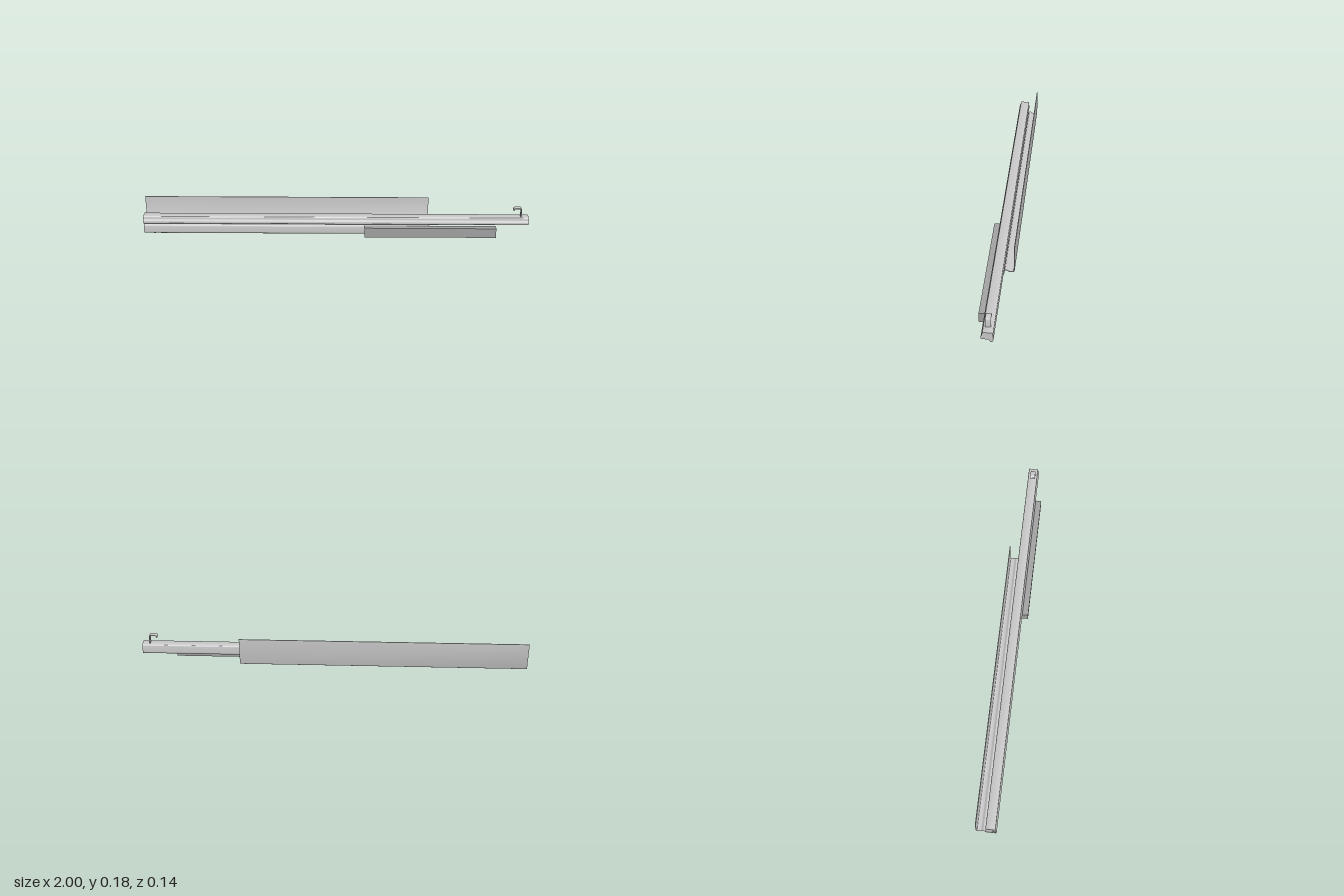
import * as THREE from 'three';
import { toCreasedNormals } from 'three/addons/utils/BufferGeometryUtils.js';

const material = (color = 0xcccccc) => new THREE.MeshStandardMaterial({ color, roughness: 0.8 });

// Points along a polyline with its inner corners rounded by radius r
function rounded(points, r, closed = false) {
  const p = points.map(([a, b]) => new THREE.Vector2(a, b));
  const n = p.length;
  const out = [];
  p.forEach((c, i) => {
    if (!closed && (i === 0 || i === n - 1)) { out.push(c); return; }
    const prev = p[(i + n - 1) % n], next = p[(i + 1) % n];
    const toward = (q) => c.clone().lerp(q, Math.min(r / c.distanceTo(q), 0.45));
    out.push(...new THREE.QuadraticBezierCurve(toward(prev), c, toward(next)).getPoints(4));
  });
  return out;
}

// Closed outline of a bent sheet that follows a centre line
function sheetOutline(line, thickness) {
  const sides = [[], []];
  line.forEach((c, i) => {
    const a = line[Math.max(i - 1, 0)], b = line[Math.min(i + 1, line.length - 1)];
    const d = b.clone().sub(a).normalize().multiplyScalar(thickness / 2);
    sides[0].push(new THREE.Vector2(c.x - d.y, c.y + d.x));
    sides[1].push(new THREE.Vector2(c.x + d.y, c.y - d.x));
  });
  return sides[0].concat(sides[1].reverse());
}

function extrude(outline, depth) {
  const geo = new THREE.ExtrudeGeometry(new THREE.Shape(outline), { depth, bevelEnabled: false });
  return toCreasedNormals(geo, 0.6);
}

// Profile in (-z, y), run along x from x0 to x1
function rail(name, outline, x0, x1, mat) {
  const mesh = new THREE.Mesh(extrude(outline, x1 - x0).rotateY(Math.PI / 2), mat);
  mesh.position.x = x0;
  mesh.name = name;
  return mesh;
}

function box(name, x0, x1, y0, y1, z0, z1, mat) {
  const mesh = new THREE.Mesh(new THREE.BoxGeometry(x1 - x0, y1 - y0, z1 - z0), mat);
  mesh.position.set((x0 + x1) / 2, (y0 + y1) / 2, (z0 + z1) / 2);
  mesh.name = name;
  return mesh;
}

export function createModel() {
  const group = new THREE.Group();
  group.name = 'slidingRail';
  const grey = material();

  // Long upper bar with a stepped, rounded section
  group.add(rail('upperBar', rounded([
    [-0.032, 0.105], [0.018, 0.105], [0.019, 0.056], [0.012, 0.051], [0.003, 0.051],
    [0.003, 0.065], [-0.038, 0.065], [-0.038, 0.082], [-0.032, 0.09],
  ], 0.007, true), -1, 1, grey));

  // Inner slider running inside the channel
  group.add(rail('innerSlider', rounded([
    [-0.017, 0.066], [0.002, 0.066], [0.003, 0.05], [0.015, 0.052], [0.015, 0.017],
    [-0.029, 0.017], [-0.029, 0.05], [-0.017, 0.058],
  ], 0.006, true), -1, 0.48, material(0xb4b4b4)));

  // Bent sheet: hooked channel, hump and tall back plate
  const section = rounded([
    [-0.017, 0.057], [-0.031, 0.057], [-0.033, 0.01], [0.014, 0.01],
    [0.018, 0.036], [0.031, 0.036], [0.039, 0.027], [0.065, 0.027], [0.065, 0.176],
  ], 0.01);
  group.add(rail('channelPlate', sheetOutline(section, 0.004), -1, 0.485, grey));

  // Block on the front face
  group.add(box('frontBlock', 0.15, 0.83, 0.008, 0.06, 0.036, 0.068, material(0xa3a3a3)));

  // Small peg under the channel
  group.add(box('bottomPeg', -0.955, -0.945, 0, 0.01, 0.005, 0.012, grey));

  // Bent strip hook on the far end of the bar
  const strip = rounded([[0.961, 0.1], [0.961, 0.152], [0.925, 0.152], [0.922, 0.141]], 0.008);
  const hook = new THREE.Mesh(extrude(sheetOutline(strip, 0.004), 0.026), grey);
  hook.position.z = -0.005;
  hook.name = 'endHook';
  group.add(hook);

  return group;
}
